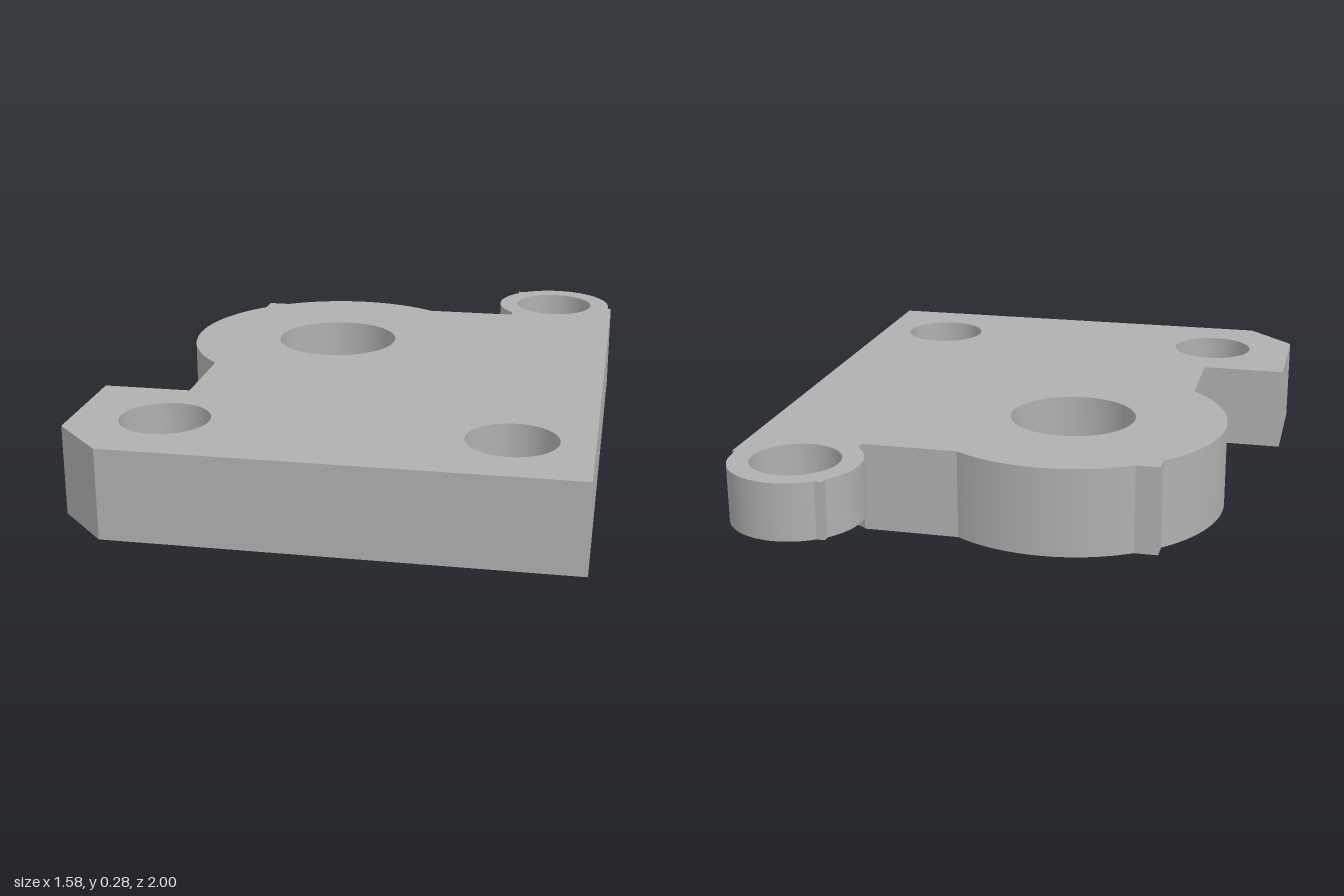
import * as THREE from 'three';
import { toCreasedNormals } from 'three/addons/utils/BufferGeometryUtils.js';

const HEIGHT = 0.283, STEP = 0.102;         // full thickness, counterbore depth
const BOSS = [-0.16, 0.203], LUG = [0.568, 0.795];
const BOLTS = [[-0.507, -0.715], [0.543, -0.715]];
const BOLT_R = 0.139, BORE_R = 0.23;

// Plan outline, drawn with shape y pointing to the back (-z)
function outline(addCorner) {
  const s = new THREE.Shape();
  s.moveTo(-0.63, -1);
  s.lineTo(0.785, -1);
  addCorner(s);
  s.lineTo(0.42, 0.62);
  s.absarc(...BOSS, 0.5, 0.986, Math.PI - 0.986);   // back of the round boss
  s.lineTo(-0.51, 0.62);
  s.absarc(...BOSS, 0.5, 2.347, 3.936);             // side of the round boss
  s.lineTo(-0.51, -0.45);
  s.lineTo(-0.79, -0.45);
  s.lineTo(-0.79, -0.835);
  s.closePath();
  return s;
}

function addHole(shape, [x, y], r) {
  shape.holes.push(new THREE.Path().absarc(x, y, r, 0, Math.PI * 2, true));
}

function layer(name, shape, y0, y1, material) {
  const geo = new THREE.ExtrudeGeometry(shape, { depth: y1 - y0, bevelEnabled: false, curveSegments: 48 });
  geo.rotateX(-Math.PI / 2);
  geo.translate(0, y0, 0);
  const mesh = new THREE.Mesh(toCreasedNormals(geo, 0.4), material);
  mesh.name = name;
  return mesh;
}

export function createModel() {
  const grey = new THREE.MeshStandardMaterial({ color: 0xb0b0b0 });
  grey.name = 'plain grey';

  // Upper layer: carries the ring lug on the back corner
  const upper = outline((s) => {
    s.lineTo(0.785, 0.765);
    s.absarc(...LUG, 0.205, -0.12, 2.206);
    s.lineTo(0.42, 0.96);
    s.absarc(...LUG, 0.205, 2.376, 3.906);
  });
  addHole(upper, BOSS, 0.204);
  [...BOLTS, LUG].forEach((p) => addHole(upper, p, BOLT_R));

  // Lower layer: wide counterbores, the lug's one cutting away the corner
  const lower = outline((s) => {
    s.lineTo(0.785, 0.72);
    s.absarc(...LUG, BORE_R, -0.333, -2.273, true);
  });
  addHole(lower, BOSS, 0.204);
  BOLTS.forEach((p) => addHole(lower, p, BORE_R));

  const group = new THREE.Group();
  group.name = 'mountingPlate';
  group.add(
    layer('upperPlateWithLug', upper, STEP, HEIGHT, grey),
    layer('lowerPlateWithCounterbores', lower, 0, STEP, grey),
  );
  return group;
}
